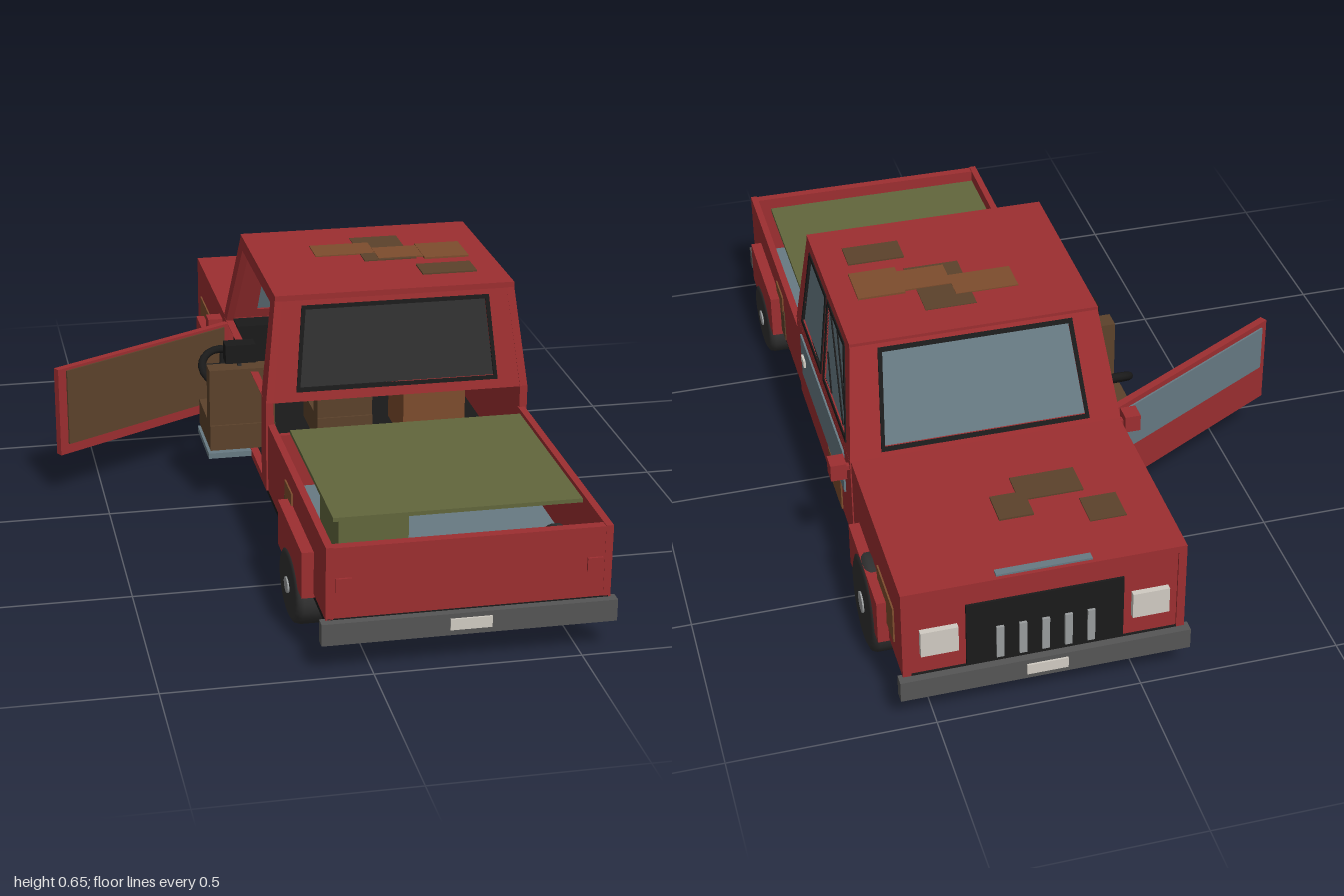
import * as THREE from 'three';

const mat = (name, color, side = THREE.FrontSide) => {
  const m = new THREE.MeshStandardMaterial({ color, side });
  m.name = name;
  return m;
};
const RED = mat('red paint', 0x9c2e30, THREE.DoubleSide);
const RUST = mat('light rust', 0x7d4c2d);
const BROWN = mat('dark rust', 0x5c422b);
const STEEL = mat('blue grey', 0x677a83, THREE.DoubleSide);
const OLIVE = mat('olive canvas', 0x62663c);
const DARK = mat('charcoal', 0x303030, THREE.DoubleSide);
const BLACK = mat('black', 0x1a1a1a, THREE.DoubleSide);
const GREY = mat('bumper grey', 0x555555);
const CREAM = mat('cream', 0xd0cbc2);
const CHROME = mat('dull metal', 0x989b9c);

const CX = 0.23; // centre line of the body

export function createModel() {
  const truck = new THREE.Group();
  truck.name = 'pickupTruck';

  const add = (name, geo, m, parent = truck) => {
    const mesh = new THREE.Mesh(geo, m);
    mesh.name = name;
    parent.add(mesh);
    return mesh;
  };
  // box from its minimum and maximum on each axis
  const box = (name, m, x0, x1, y0, y1, z0, z1, parent = truck) => {
    const b = add(name, new THREE.BoxGeometry(x1 - x0, y1 - y0, z1 - z0), m, parent);
    b.position.set((x0 + x1) / 2, (y0 + y1) / 2, (z0 + z1) / 2);
    return b;
  };
  // the same box on both sides, given by distance from the centre line
  const pair = (name, m, d0, d1, ...yz) => {
    box(name + 'Left', m, CX + d0, CX + d1, ...yz);
    box(name + 'Right', m, CX - d1, CX - d0, ...yz);
  };
  // flat outline with holes, bent onto a sloping cab face
  const panel = (name, m, map, outline, holes = [], w0 = 0, w1 = 0.02) => {
    const pts = (a) => a.map(([x, y]) => new THREE.Vector2(x, y));
    const shape = new THREE.Shape(pts(outline));
    holes.forEach((h) => shape.holes.push(new THREE.Path(pts(h))));
    const geo = new THREE.ExtrudeGeometry(shape, { depth: w1 - w0, bevelEnabled: false });
    const p = geo.attributes.position;
    for (let i = 0; i < p.count; i++) {
      p.setXYZ(i, ...map(p.getX(i), p.getY(i), p.getZ(i) + w0));
    }
    geo.computeVertexNormals();
    return add(name, geo, m);
  };
  const grow = (poly, d) => {
    const cx = poly.reduce((s, p) => s + p[0], 0) / poly.length;
    const cy = poly.reduce((s, p) => s + p[1], 0) / poly.length;
    return poly.map(([x, y]) => [x + d * Math.sign(x - cx), y + d * Math.sign(y - cy)]);
  };
  const pane = (name, m, map, poly) => {
    panel(name, m, map, poly, [], 0.004, 0.01);
    panel(name + 'Trim', BLACK, map, grow(poly, 0.01), [poly], -0.003, 0.004);
  };

  // chassis and bumpers
  box('underbody', BLACK, CX - 0.335, CX + 0.335, 0.12, 0.148, -0.975, 0.975);
  for (const s of [-1, 1]) {
    const end = s < 0 ? 'front' : 'rear';
    const z = (a, b) => (s > 0 ? [a, b] : [-b, -a]);
    box(end + 'Bumper', GREY, CX - 0.353, CX + 0.353, 0.09, 0.145, ...z(0.965, 0.995));
    box(end + 'Plate', CREAM, CX - 0.05, CX + 0.05, 0.105, 0.133, ...z(0.994, 1));
  }

  // cargo bed
  pair('bedSide', RED, 0.322, 0.34, 0.145, 0.328, 0.22, 0.975);
  box('tailgate', RED, CX - 0.325, CX + 0.325, 0.145, 0.326, 0.95, 0.974);
  box('bedFrontWall', RED, CX - 0.325, CX + 0.325, 0.145, 0.3, 0.222, 0.238);
  box('bedFloor', STEEL, CX - 0.325, CX + 0.325, 0.147, 0.156, 0.235, 0.955);
  pair('tailLight', RED, 0.28, 0.317, 0.215, 0.25, 0.972, 0.98);
  box('cargoCrate', OLIVE, -0.04, 0.13, 0.156, 0.34, 0.56, 0.78);
  box('tarp', OLIVE, -0.07, 0.53, 0.338, 0.348, 0.32, 0.86);

  // nose: hollow engine bay under a flat hood
  pair('frontFender', RED, 0.322, 0.342, 0.145, 0.385, -0.975, -0.44);
  box('hood', RED, CX - 0.342, CX + 0.342, 0.368, 0.387, -0.975, -0.44);
  box('frontFace', RED, CX - 0.33, CX + 0.33, 0.145, 0.37, -0.97, -0.95);
  box('grille', BLACK, CX - 0.19, CX + 0.19, 0.148, 0.325, -0.976, -0.969);
  for (let i = 0; i < 5; i++) {
    const x = CX - 0.11 + i * 0.055;
    box('grilleBar', CHROME, x - 0.009, x + 0.009, 0.16, 0.25, -0.983, -0.974);
  }
  pair('headlight', CREAM, 0.21, 0.3, 0.205, 0.275, -0.985, -0.965);
  box('hoodStrip', STEEL, CX - 0.115, CX + 0.115, 0.386, 0.392, -0.965, -0.945);

  // wheel arches and wheels, the rear tyres sagging flat
  for (const [end, z, y, sy] of [['front', -0.675, 0.135, 1], ['rear', 0.68, 0.097, 0.7]]) {
    pair(end + 'Arch', RED, 0.33, 0.369, 0.135, 0.253, z - 0.155, z + 0.155);
    for (const s of [-1, 1]) {
      const wheel = new THREE.Group();
      wheel.name = end + 'Wheel';
      wheel.position.set(CX + s * 0.332, y, z);
      wheel.scale.y = sy;
      truck.add(wheel);
      const profile = [[0, -0.042], [0.105, -0.042], [0.12, -0.036], [0.125, -0.024],
        [0.125, 0.024], [0.12, 0.036], [0.105, 0.042], [0, 0.042]];
      const tyre = new THREE.LatheGeometry(profile.map((p) => new THREE.Vector2(...p)), 28);
      add('tyre', tyre, DARK, wheel).rotation.z = Math.PI / 2;
      const hub = add('hub', new THREE.CylinderGeometry(0.027, 0.027, 0.006, 16), CHROME, wheel);
      hub.rotation.z = Math.PI / 2;
      hub.position.x = s * 0.043;
    }
  }

  // cab: slopes inward from the belt line to the roof
  const t = (y) => Math.max(0, (y - 0.385) / 0.27);
  const sideMap = (s) => (z, y, w) => [CX + s * (0.345 - 0.033 * t(y) - w), y, z];
  const rearMap = (x, y, w) => [x, y, 0.226 - 0.046 * t(y) - w];
  const frontMap = (x, y, w) => [x, y, -0.452 + 0.107 * t(y) + w];
  const sideOutline = [[0.228, 0.385], [0.18, 0.655], [-0.345, 0.655], [-0.452, 0.385]];
  const endOutline = [[CX - 0.345, 0.385], [CX + 0.345, 0.385], [CX + 0.312, 0.655], [CX - 0.312, 0.655]];
  const rearSide = [[0.15, 0.42], [0.125, 0.622], [-0.07, 0.622], [-0.085, 0.42]];
  const frontSide = [[-0.13, 0.42], [-0.105, 0.622], [-0.29, 0.622], [-0.39, 0.42]];
  const doorway = [[0.16, 0.386], [0.13, 0.625], [-0.3, 0.625], [-0.41, 0.386]];
  const back = [[CX - 0.255, 0.42], [CX + 0.255, 0.42], [CX + 0.235, 0.62], [CX - 0.235, 0.62]];
  const shield = [[CX - 0.255, 0.41], [CX + 0.255, 0.41], [CX + 0.235, 0.63], [CX - 0.235, 0.63]];

  panel('cabSideClosed', RED, sideMap(1), sideOutline, [rearSide, frontSide]);
  panel('cabSideOpen', RED, sideMap(-1), sideOutline, [doorway]);
  panel('cabBack', RED, rearMap, endOutline, [back]);
  panel('cabFront', RED, frontMap, endOutline, [shield]);
  pane('rearSideWindow', STEEL, sideMap(1), rearSide);
  pane('frontSideWindow', STEEL, sideMap(1), frontSide);
  pane('backWindow', DARK, rearMap, back);
  pane('windshield', STEEL, frontMap, shield);
  box('roof', RED, CX - 0.313, CX + 0.313, 0.64, 0.658, -0.347, 0.182);
  // cracks in the glass
  for (const [za, ya, zb, yb] of [[-0.12, 0.615, -0.34, 0.425], [-0.2, 0.615, -0.37, 0.44], [-0.13, 0.5, -0.2, 0.425]]) {
    panel('glassCrack', BLACK, sideMap(1),
      [[za, ya], [zb, yb], [zb - 0.008, yb], [za - 0.008, ya]], [], 0.001, 0.004);
  }

  // lower cab walls, with a doorway on the open side
  box('closedDoorWall', RED, 0.555, 0.575, 0.145, 0.387, -0.452, 0.228);
  box('doorPanel', STEEL, 0.574, 0.58, 0.245, 0.37, -0.38, 0.16);
  box('doorHandle', CREAM, 0.579, 0.586, 0.305, 0.325, 0.095, 0.13);
  box('openSideRearPost', RED, -0.115, -0.095, 0.145, 0.387, 0.16, 0.228);
  box('openSideFrontPost', RED, -0.115, -0.095, 0.145, 0.387, -0.452, -0.41);
  box('doorSill', RED, -0.115, -0.095, 0.145, 0.165, -0.41, 0.16);
  box('dashboard', BLACK, -0.09, 0.55, 0.27, 0.38, -0.44, -0.37);

  // door swung open
  const door = new THREE.Group();
  door.name = 'openDoor';
  door.position.set(-0.115, 0, -0.4);
  door.rotation.y = Math.PI + 0.506;
  truck.add(door);
  box('doorShell', RED, 0, 0.575, 0.14, 0.385, -0.01, 0.01, door);
  box('doorOuterPanel', STEEL, 0.02, 0.555, 0.245, 0.37, 0.009, 0.015, door);
  box('doorInnerLining', BROWN, 0.02, 0.55, 0.168, 0.378, -0.015, -0.009, door);

  // seats, the driver's one slid out through the doorway
  const seat = (name, x0, x1) => {
    box(name + 'Cushion', BROWN, x0, x1, 0.17, 0.24, -0.2, 0);
    box(name + 'Back', BROWN, x0, x1, 0.2, 0.395, -0.055, -0.005);
  };
  seat('driverSeat', -0.225, -0.05);
  seat('middleSeat', 0.065, 0.215);
  box('passengerSeat', RUST, 0.3, 0.47, 0.16, 0.3, -0.18, 0);
  box('seatRail', STEEL, -0.23, -0.1, 0.147, 0.162, -0.2, 0);
  box('headrest', BLACK, -0.18, -0.1, 0.41, 0.46, -0.055, -0.01);
  box('headrestPost', DARK, -0.145, -0.135, 0.39, 0.415, -0.04, -0.03);

  // steering wheel and column
  const ring = add('steeringWheel', new THREE.TorusGeometry(0.055, 0.011, 8, 20), BLACK);
  ring.position.set(-0.16, 0.33, -0.205);
  ring.rotation.x = -0.9;
  const column = new THREE.LineCurve3(new THREE.Vector3(-0.16, 0.33, -0.205), new THREE.Vector3(-0.13, 0.3, -0.39));
  add('steeringColumn', new THREE.TubeGeometry(column, 1, 0.008, 8), BLACK);
  const spoke = box('steeringSpoke', BLACK, -0.05, 0.05, -0.008, 0.008, -0.005, 0.005, ring);
  spoke.name = 'steeringSpoke';

  // side mirrors
  pair('mirror', RED, 0.355, 0.395, 0.345, 0.39, -0.46, -0.415);
  pair('mirrorArm', RED, 0.33, 0.36, 0.36, 0.372, -0.445, -0.43);

  // rust patches on hood and roof: x0, x1, z0, z1
  const flat = (m, y, list) => list.forEach(([x0, x1, z0, z1], i) =>
    box('rustPatch', m, x0, x1, y, y + 0.004 + i * 0.001, z0, z1));
  flat(BROWN, 0.386, [[-0.01, 0.08, -0.83, -0.74], [0.06, 0.22, -0.71, -0.62], [0.2, 0.285, -0.77, -0.68]]);
  flat(BROWN, 0.656, [[0.2, 0.33, -0.25, -0.15], [0.2, 0.34, -0.11, -0.05], [0.325, 0.47, 0.005, 0.085]]);
  flat(RUST, 0.657, [[0.08, 0.24, -0.2, -0.11], [0.24, 0.37, -0.15, -0.06], [0.36, 0.48, -0.16, -0.04]]);
  // rust patches on the flanks
  pair('bedRust', RUST, 0.338, 0.344, 0.225, 0.285, 0.48, 0.57);
  pair('bedLowRust', BROWN, 0.338, 0.343, 0.15, 0.24, 0.47, 0.535);
  pair('fenderRust', RUST, 0.34, 0.346, 0.19, 0.29, -0.9, -0.735);
  box('doorRust', RUST, 0.573, 0.579, 0.15, 0.235, -0.325, -0.17);

  return truck;
}
